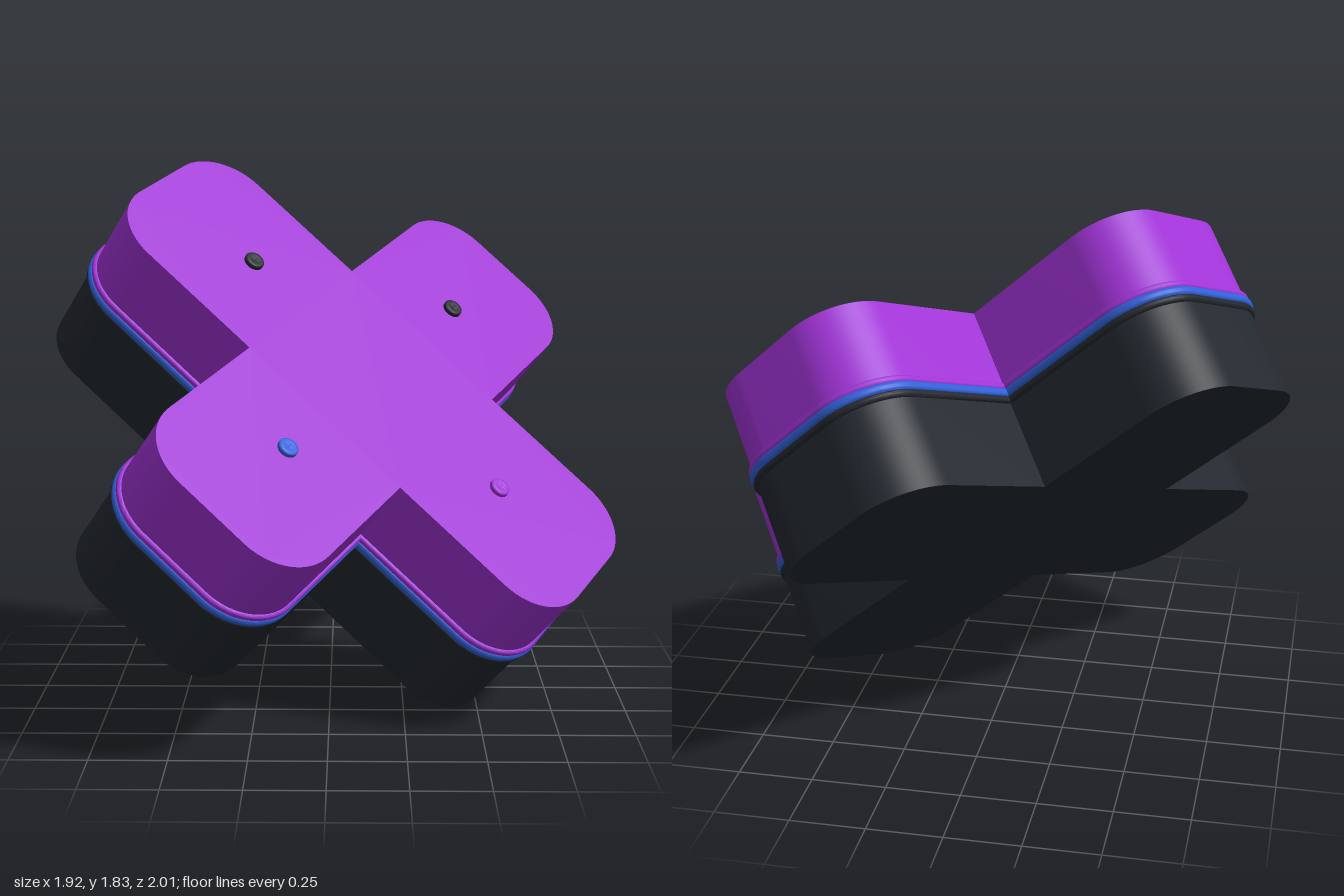
import * as THREE from 'three';
import { toCreasedNormals } from 'three/addons/utils/BufferGeometryUtils.js';

const PURPLE = 0xa033d6, BLACK = 0x23282f, BLUE = 0x3060d8;
const ARM = 0.98, HALF = 0.33, ROUND = 0.2, THICK = 0.32;

// Plus outline: arms with rounded outer corners and sharp inner corners
function plusShape(arm, half, round) {
  const shape = new THREE.Shape();
  for (let i = 0; i < 4; i++) {
    const a = i * Math.PI / 2, c = Math.cos(a), s = Math.sin(a);
    const at = (x, y) => [x * c - y * s, x * s + y * c];
    if (i === 0) shape.moveTo(...at(half, -half));
    else shape.lineTo(...at(half, -half));
    if (round > 0) {
      shape.lineTo(...at(arm - round, -half));
      shape.absarc(...at(arm - round, round - half), round, a - Math.PI / 2, a, false);
      shape.absarc(...at(arm - round, half - round), round, a, a + Math.PI / 2, false);
    } else {
      shape.lineTo(...at(arm, -half));
      shape.lineTo(...at(arm, half));
    }
  }
  shape.closePath();
  return shape;
}

function mesh(name, geometry, color) {
  const m = new THREE.Mesh(toCreasedNormals(geometry, 0.6), new THREE.MeshStandardMaterial({ color }));
  m.name = name;
  return m;
}

// Straight-sided half of the body between two heights
function slab(name, z0, z1, color) {
  const g = new THREE.ExtrudeGeometry(plusShape(ARM, HALF, ROUND),
    { depth: z1 - z0, bevelEnabled: false, curveSegments: 12 });
  return mesh(name, g.translate(0, 0, z0), color);
}

// Rounded bead that runs all the way around the outline
function bead(name, z, radius, color) {
  const g = new THREE.ExtrudeGeometry(plusShape(ARM, HALF, ROUND), {
    depth: 0.002, bevelThickness: radius, bevelSize: radius, bevelSegments: 5, curveSegments: 12,
  });
  return mesh(name, g.translate(0, 0, z - 0.001), color);
}

// Round-headed screw with a cross-shaped recess
function screw(name, x, y, color) {
  const group = new THREE.Group();
  group.name = name;
  const head = new THREE.Shape().absarc(0, 0, 0.026, 0, Math.PI * 2, false);
  head.holes.push(plusShape(0.019, 0.006, 0));
  const g = new THREE.ExtrudeGeometry(head, {
    depth: 0.01, bevelThickness: 0.006, bevelSize: 0.008, bevelOffset: 0,
    bevelSegments: 4, curveSegments: 12,
  });
  const floor = new THREE.CylinderGeometry(0.025, 0.025, 0.006, 20).rotateX(Math.PI / 2);
  group.add(mesh('screwHead', g, color), mesh('recessFloor', floor, color));
  group.position.set(x, y, THICK);
  return group;
}

export function createModel() {
  const model = new THREE.Group();
  const body = new THREE.Group();
  body.name = 'plusShapedCase';
  model.add(body);

  // Two shells meeting at the middle seam
  body.add(slab('upperShell', 0.02, THICK, PURPLE));
  body.add(slab('lowerShell', -THICK, 0.02, BLACK));

  // Seam: blue gasket between the two shell rims
  body.add(bead('upperRim', 0.042, 0.012, PURPLE));
  body.add(bead('gasket', 0.018, 0.016, BLUE));
  body.add(bead('lowerRim', -0.006, 0.012, BLACK));

  // One screw on each arm
  const d = 0.557;
  body.add(screw('screwPurple', d, 0, PURPLE));
  body.add(screw('screwBlackRight', 0, d, BLACK));
  body.add(screw('screwBlackLeft', -d, 0, BLACK));
  body.add(screw('screwBlue', 0, -d, BLUE));

  // Tilt the case: local x and y run along the arms, z out of the top face
  const u = new THREE.Vector3(0.731, -0.65, 0.206).normalize();
  const n = u.clone().cross(new THREE.Vector3(0.494, 0.301, -0.816)).normalize();
  const v = n.clone().cross(u);
  body.quaternion.setFromRotationMatrix(new THREE.Matrix4().makeBasis(u, v, n));
  body.position.y = 0.915;
  return model;
}
